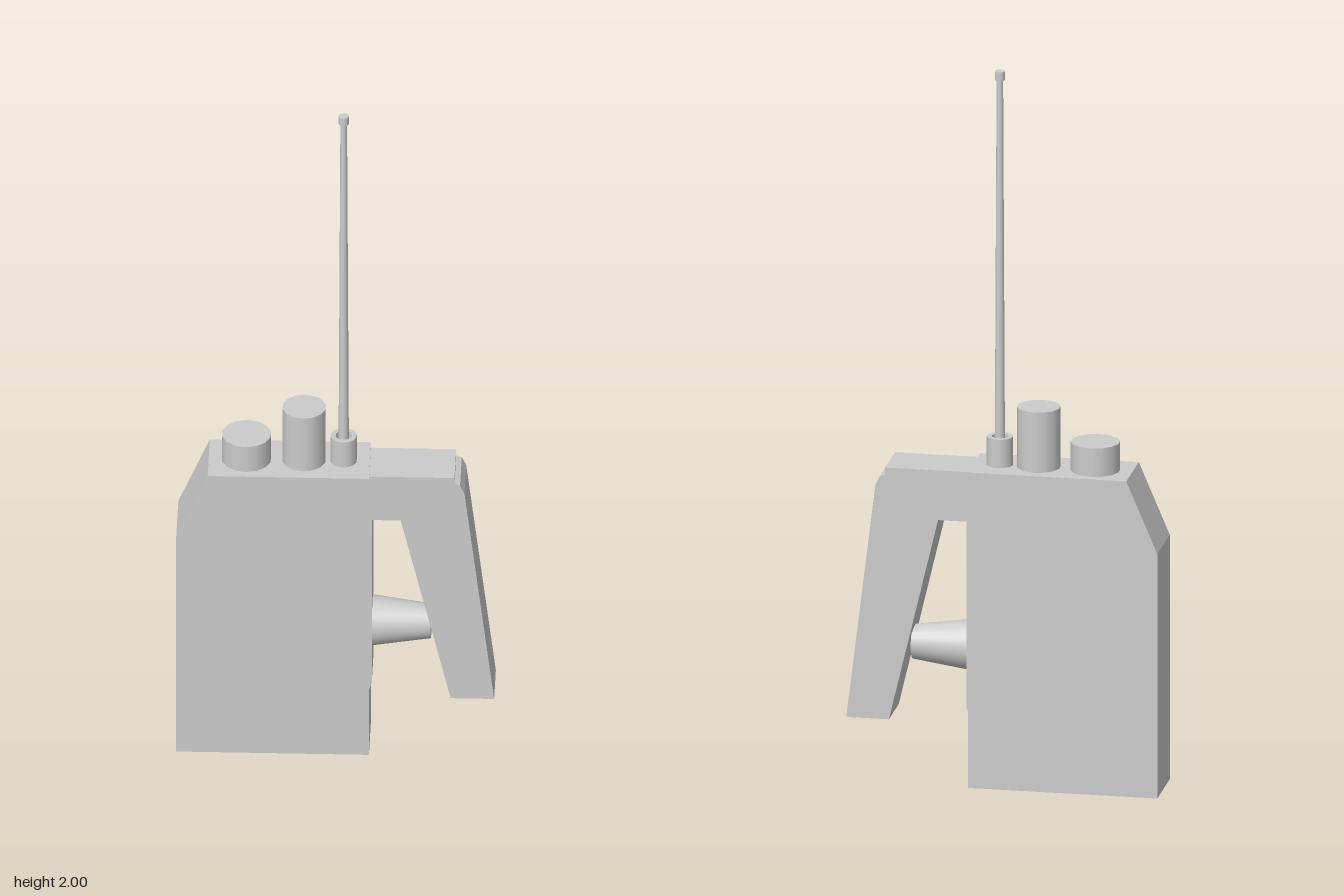
import * as THREE from 'three';

const material = new THREE.MeshStandardMaterial({ color: 0xcccccc });

export function createModel() {
  const group = new THREE.Group();

  const add = (name, geometry, x = 0, y = 0, z = 0) => {
    const mesh = new THREE.Mesh(geometry, material);
    mesh.name = name;
    mesh.position.set(x, y, z);
    group.add(mesh);
    return mesh;
  };

  // Side outline in x/y, extruded to a depth centred on z = 0
  const slab = (points, depth) => {
    const shape = new THREE.Shape(points.map(([x, y]) => new THREE.Vector2(x, y)));
    return new THREE.ExtrudeGeometry(shape, { depth, bevelEnabled: false }).translate(0, 0, -depth / 2);
  };

  // Case with one sloped shoulder
  add('body', slab([[-0.43, 0], [0.09, 0], [0.09, 0.89], [-0.345, 0.89], [-0.43, 0.69]], 0.18));

  // Thin mounting plate on the side of the case
  add('mountingPlate', slab([[0.08, 0.2], [0.09, 0.2], [0.097, 0.22], [0.097, 0.885], [0.08, 0.885]], 0.144));

  // Arm and drooping grip
  add('handle', slab([
    [0.09, 0.745], [0.175, 0.745], [0.31, 0.175], [0.427, 0.175], [0.347, 0.835],
    [0.335, 0.86], [0.32, 0.865], [0.32, 0.885], [0.09, 0.885],
  ], 0.142));

  // Tapered push button between case and grip
  const button = add('pushButton', new THREE.CylinderGeometry(0.047, 0.07, 0.165, 24), 0.1725, 0.377);
  button.rotation.z = -Math.PI / 2;

  // Control knobs on top: x, radius, top height
  for (const [name, x, r, top] of [['wideKnob', -0.243, 0.067, 0.97], ['tallKnob', -0.088, 0.059, 1.06]]) {
    const height = top - 0.88;
    add(name, new THREE.CylinderGeometry(r, r, height, 14), x, 0.88 + height / 2);
  }

  // Antenna socket with a shallow recess around the rod
  const socket = [[0.036, 0], [0.036, 0.09], [0.036, 0.09], [0.022, 0.09], [0.022, 0.09], [0.022, 0.07], [0.022, 0.07], [0.001, 0.07]];
  add('antennaSocket', new THREE.LatheGeometry(socket.map(([r, y]) => new THREE.Vector2(r, y)), 14), 0.019, 0.88);

  // Tapering rod and end cap
  add('antennaRod', new THREE.CylinderGeometry(0.009, 0.014, 1.04, 12), 0.019, 1.46);
  add('antennaTip', new THREE.CylinderGeometry(0.014, 0.014, 0.025, 12), 0.019, 1.9875);

  return group;
}
